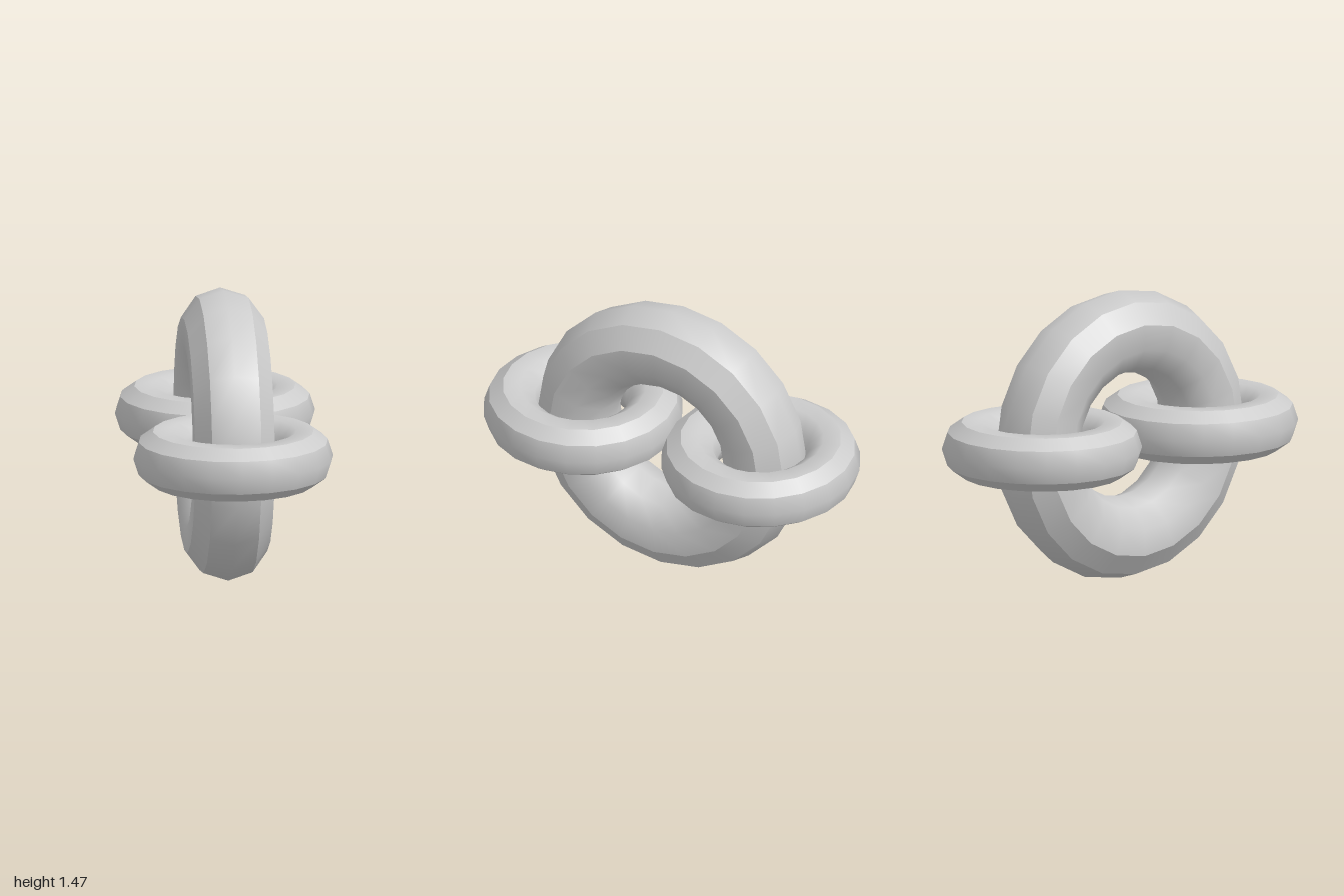
import * as THREE from 'three';
import { mergeGeometries } from 'three/addons/utils/BufferGeometryUtils.js';

// Ring of ten-sided section around the y axis, lathed in four bands so that
// the outer shoulders stay sharp while the rim and the inside are smooth.
function ringGeometry(radius, tube) {
  const bands = [[-1, 1], [1, 2], [2, 8], [8, 9]];
  return mergeGeometries(bands.map(([from, to]) => {
    const points = [];
    for (let i = from; i <= to; i++) {
      const a = (i * Math.PI) / 5;
      points.push(new THREE.Vector2(radius + tube * Math.cos(a), tube * Math.sin(a)));
    }
    return new THREE.LatheGeometry(points, 20);
  }));
}

export function createModel() {
  const group = new THREE.Group();
  group.name = 'linkedRings';
  const material = new THREE.MeshStandardMaterial({ color: 0xcccccc });
  const centreY = 0.733;

  // Large upright ring
  const large = new THREE.Mesh(ringGeometry(0.524, 0.209), material);
  large.name = 'largeRing';
  large.rotation.z = Math.PI / 2;
  large.position.y = centreY;
  group.add(large);

  // Two small flat rings linked through its front and back
  const small = ringGeometry(0.358, 0.142);
  for (const side of [1, -1]) {
    const ring = new THREE.Mesh(small, material);
    ring.name = side > 0 ? 'frontSmallRing' : 'backSmallRing';
    ring.position.set(0, centreY, side * 0.5);
    group.add(ring);
  }
  return group;
}
